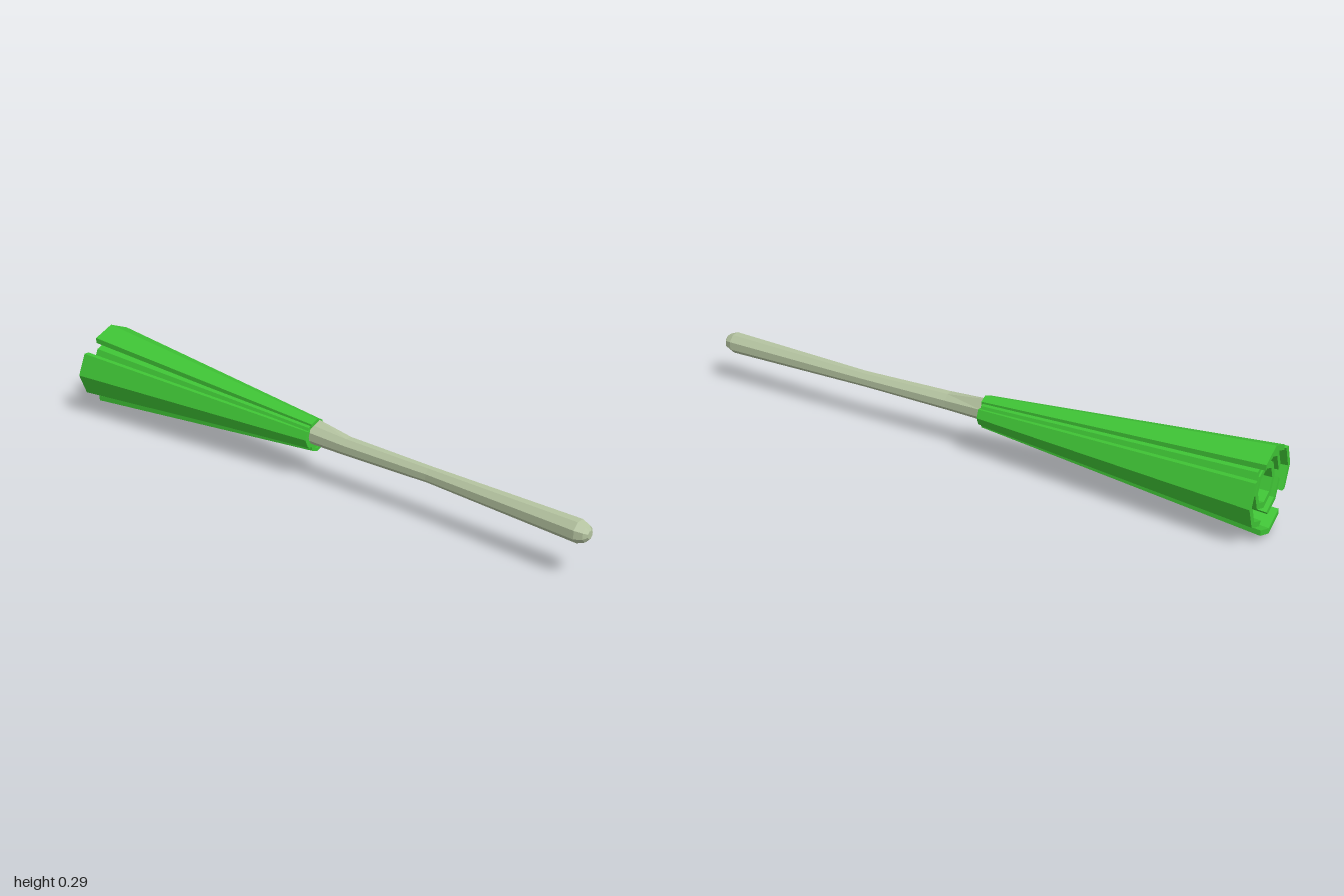
import * as THREE from 'three';

const leafMaterial = new THREE.MeshStandardMaterial({ color: 0x3fc435, flatShading: true });
const handleMaterial = new THREE.MeshStandardMaterial({ color: 0xb4c3a0, flatShading: true });

// Skin through cross-sections (counter-clockwise seen from +z) running from +z to -z, capped at both ends
function loft(rings) {
  const n = rings[0].length;
  const index = [];
  for (let r = 0; r < rings.length - 1; r++) {
    for (let i = 0; i < n; i++) {
      const a = r * n + i, b = r * n + (i + 1) % n;
      index.push(a, a + n, b, b, a + n, b + n);
    }
  }
  const last = (rings.length - 1) * n;
  const flat = (ring) => ring.map((p) => new THREE.Vector2(p.x, p.y));
  for (const [a, b, c] of THREE.ShapeUtils.triangulateShape(flat(rings[0]), [])) index.push(a, b, c);
  for (const [a, b, c] of THREE.ShapeUtils.triangulateShape(flat(rings[rings.length - 1]), [])) {
    index.push(last + a, last + c, last + b);
  }
  const geometry = new THREE.BufferGeometry().setFromPoints(rings.flat());
  geometry.setIndex(index);
  geometry.computeVertexNormals();
  return geometry;
}

// Folded strip section: ridge at radius r, half width w, thickness t, turned by angle
function leafSection(angle, cx, cy, z, r, w, t) {
  const side = r - w * Math.tan(Math.PI / 8);
  const points = [[side, -w], [r, 0], [side, w], [side - t, w], [r - t, 0], [side - t, -w]];
  const c = Math.cos(angle), s = Math.sin(angle);
  return points.map(([x, y]) => new THREE.Vector3(cx + x * c - y * s, cy + x * s + y * c, z));
}

export function createModel() {
  const group = new THREE.Group();
  const add = (name, geometry, material) => {
    const mesh = new THREE.Mesh(geometry, material);
    mesh.name = name;
    group.add(mesh);
    return mesh;
  };

  // Handle: slightly bent and waisted, with a rounded end: [z, x, y, radius]
  const handleRings = [
    [1, -0.012, 0.152, 0.013], [0.99, -0.012, 0.152, 0.026], [0.965, -0.012, 0.152, 0.036],
    [0.42, 0.003, 0.154, 0.026], [0.1, 0, 0.154, 0.031], [-0.04, 0.002, 0.157, 0.036],
    [-0.12, 0.002, 0.157, 0.034],
  ].map(([z, x, y, r]) => Array.from({ length: 8 }, (_, i) => {
    const a = (i + 0.5) * Math.PI / 4;
    // One upper edge swells where the handle enters the leaves
    const swell = i === 1 && z < 0 ? 0.012 : 0;
    return new THREE.Vector3(x + r * Math.cos(a), y + r * Math.sin(a) + swell, z);
  }));
  add('handle', loft(handleRings), handleMaterial);

  // Outer leaves on the four main sides: [angle in quarter turns, x, y, end z, end radius]
  const outer = [
    [0, 0, 0.154, -0.99, 0.16], [1, 0.007, 0.148, -1, 0.146],
    [2, 0, 0.155, -0.99, 0.16], [3, 0.007, 0.148, -1, 0.148],
  ];
  outer.forEach(([q, x, y, z, r], i) => {
    const angle = q * Math.PI / 2;
    add('outerLeaf' + (i + 1), loft([
      leafSection(angle, 0.003, 0.152, -0.035, 0.056, 0.026, 0.012),
      leafSection(angle, x, y, z, r, 0.072, 0.018),
    ]), leafMaterial);
  });

  // Middle leaves fill the diagonals behind the gaps
  [0.124, 0.114, 0.122, 0.132].forEach((r, i) => {
    const angle = Math.PI / 4 + i * Math.PI / 2;
    add('middleLeaf' + (i + 1), loft([
      leafSection(angle, 0.003, 0.152, -0.04, 0.05, 0.025, 0.01),
      leafSection(angle, 0.002, 0.152, -0.98, r, 0.057, 0.018),
    ]), leafMaterial);
  });

  // Inner leaf: a closed eight-sided hollow cone
  const profile = [[0.034, 0.04], [0.056, 0.975], [0.076, 0.975], [0.044, 0.04], [0.034, 0.04]]
    .map(([r, y]) => new THREE.Vector2(r, y)).reverse();
  const core = new THREE.LatheGeometry(profile, 8);
  core.rotateX(-Math.PI / 2);
  const inner = add('innerLeaf', core, leafMaterial.clone());
  inner.material.side = THREE.DoubleSide;
  inner.position.set(0.002, 0.153, 0);

  return group;
}
